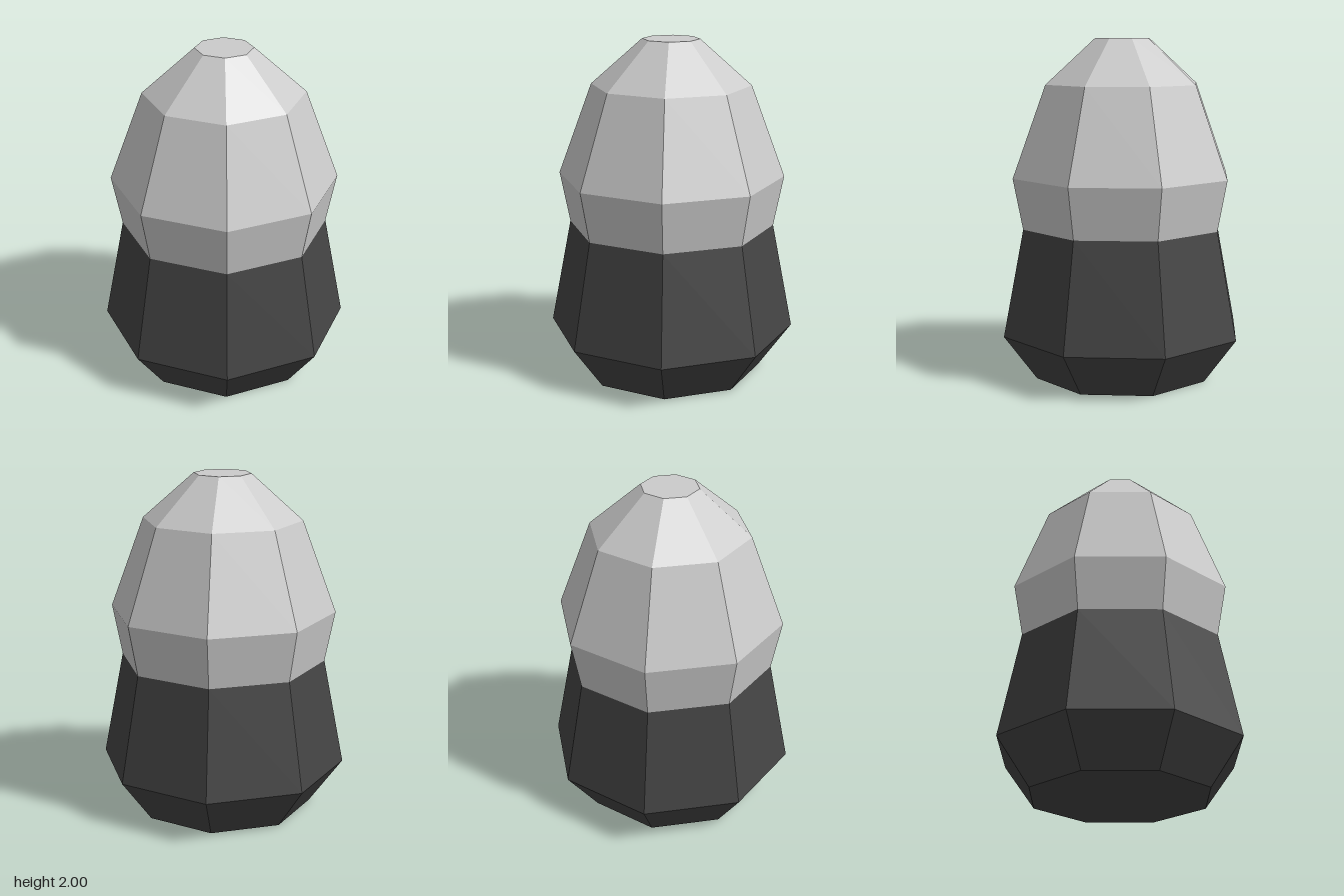
import * as THREE from 'three';

const SIDES = 8;

// Faceted solid of revolution from [radius, height] pairs, bottom to top
function facetedShell(name, profile, color) {
  const points = profile.map(([r, y]) => new THREE.Vector2(r, y));
  const material = new THREE.MeshStandardMaterial({ color, flatShading: true });
  const mesh = new THREE.Mesh(new THREE.LatheGeometry(points, SIDES), material);
  mesh.name = name;
  return mesh;
}

export function createModel() {
  const model = new THREE.Group();
  model.name = 'acornShape';

  // Dark cup: closed flat bottom, flared belly, narrowing to the waist
  model.add(facetedShell('darkBase', [
    [0, 0], [0.535, 0], [0.732, 0.27], [0.608, 0.9],
  ], 0x444444));

  // Pale dome: swells above the waist, tapers to a small flat tip
  model.add(facetedShell('paleDome', [
    [0.608, 0.9], [0.666, 1.2], [0.467, 1.735], [0.167, 2], [0, 2],
  ], 0xcccccc));

  return model;
}
